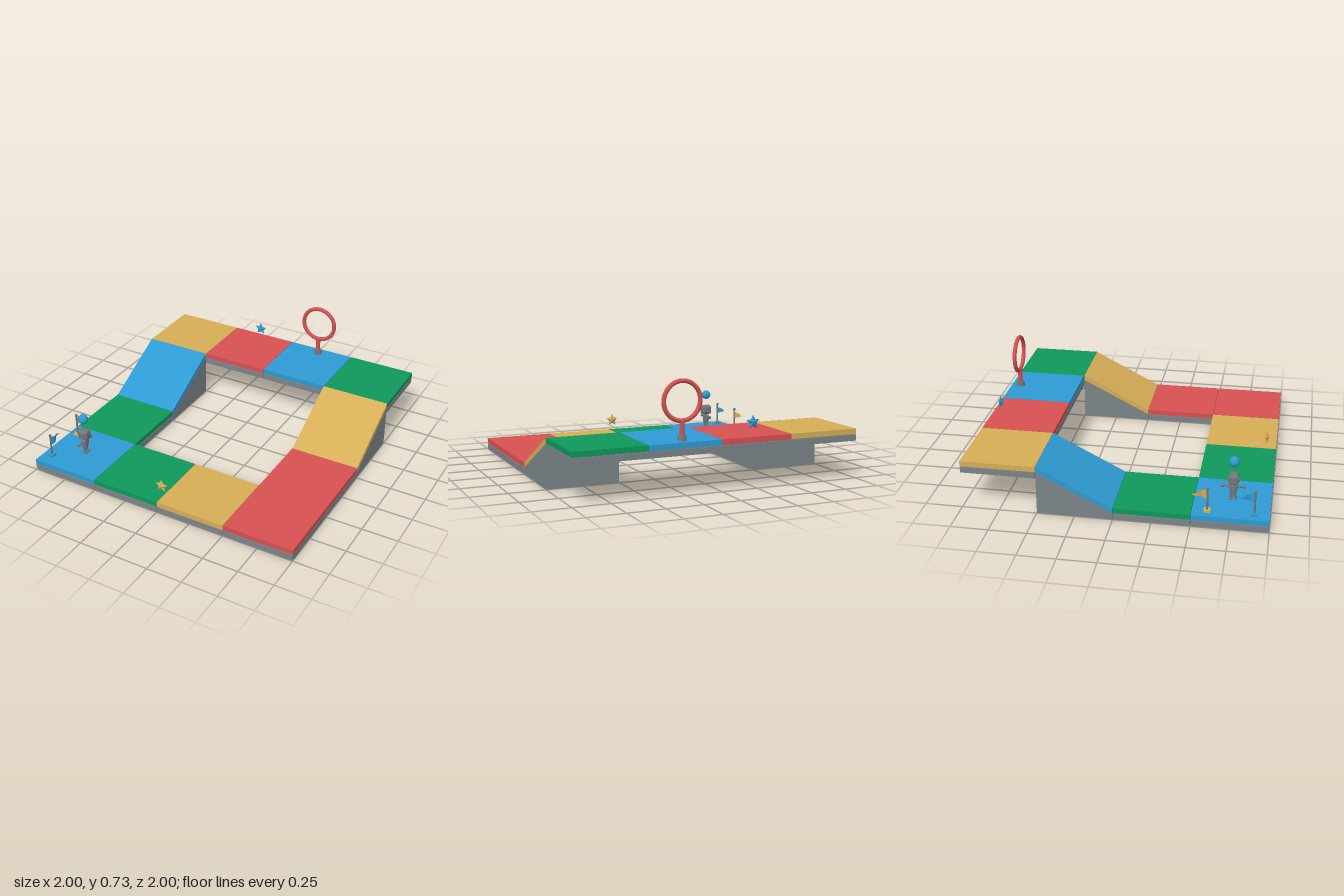
import * as THREE from 'three';
import { RoundedBoxGeometry } from 'three/addons/geometries/RoundedBoxGeometry.js';

const mat = (name, color, extra = {}) => {
  const m = new THREE.MeshStandardMaterial({ color, ...extra });
  m.name = name;
  return m;
};

export function createModel() {
  const red = mat('red', 0xd65052);
  const green = mat('green', 0x0e985a);
  const blue = mat('blue', 0x2e9ad2, { side: THREE.DoubleSide });
  const yellow = mat('yellow', 0xd6ad56, { side: THREE.DoubleSide });
  const gray = mat('gray', 0x7b8488);
  const metal = mat('metal', 0x74777b);

  const model = new THREE.Group();
  model.name = 'trackCourse';
  const add = (parent, name, geo, material, x = 0, y = 0, z = 0) => {
    const mesh = new THREE.Mesh(geo, material);
    mesh.name = name;
    mesh.position.set(x, y, z);
    parent.add(mesh);
    return mesh;
  };
  const group = (name, x, y, z) => {
    const g = new THREE.Group();
    g.name = name;
    g.position.set(x, y, z);
    model.add(g);
    return g;
  };

  // Flat tiles: gray base, recessed core, coloured top
  const LOW = 0, HIGH = 0.254;
  const tiles = [
    [-0.75, -0.75, HIGH, yellow], [-0.25, -0.75, HIGH, red],
    [0.25, -0.75, HIGH, blue], [0.75, -0.75, HIGH, green],
    [-0.75, 0.25, LOW, green], [0.75, 0.25, LOW, red],
    [-0.75, 0.75, LOW, blue], [-0.25, 0.75, LOW, green],
    [0.25, 0.75, LOW, yellow], [0.75, 0.75, LOW, red],
  ];
  for (const [x, z, y, color] of tiles) {
    const tile = group('tile', x, y, z);
    add(tile, 'tileBase', new THREE.BoxGeometry(0.496, 0.041, 0.496), gray, 0, 0.0205);
    add(tile, 'tileCore', new THREE.BoxGeometry(0.484, 0.01, 0.484), gray, 0, 0.043);
    add(tile, 'tileTop', new THREE.BoxGeometry(0.497, 0.036, 0.497), color, 0, 0.064);
  }

  // Ramps: side profiles extruded across the width
  const across = (points) => {
    const shape = new THREE.Shape(points.map(([u, y]) => new THREE.Vector2(u, y)));
    return new THREE.ExtrudeGeometry(shape, { depth: 0.496, bevelEnabled: false })
      .translate(0, 0, -0.248).rotateY(Math.PI / 2);
  };
  for (const [x, color] of [[-0.75, blue], [0.75, yellow]]) {
    const ramp = group('ramp', x, 0, 0);
    add(ramp, 'rampBody', across([[0.002, 0], [0.498, 0], [0.498, 0.297], [0.002, 0.044]]), gray);
    add(ramp, 'rampTop', across([[0.001, 0.046], [0.499, 0.299], [0.499, 0.336], [0.001, 0.082]]), color);
  }

  // Hoop on a short post
  const hoop = group('hoop', 0.25, 0.335, -0.932);
  add(hoop, 'hoopFoot', new THREE.CylinderGeometry(0.026, 0.03, 0.036, 20), metal, 0, 0.018);
  add(hoop, 'hoopPost', new THREE.CylinderGeometry(0.016, 0.016, 0.09, 20), red, 0, 0.08);
  add(hoop, 'hoopRing', new THREE.TorusGeometry(0.125, 0.0145, 14, 56), red, 0, 0.252);

  // Faceted five-pointed stars
  const starGeometry = () => {
    const ring = [], pos = [];
    for (let i = 0; i < 10; i++) {
      const a = Math.PI / 2 + i * Math.PI / 5, r = i % 2 ? 0.025 : 0.049;
      ring.push([r * Math.cos(a), r * Math.sin(a), 0]);
    }
    ring.forEach((p, i) => {
      const q = ring[(i + 1) % 10];
      pos.push(...p, ...q, 0, 0, 0.017, ...q, ...p, 0, 0, -0.017);
    });
    const geo = new THREE.BufferGeometry();
    geo.setAttribute('position', new THREE.Float32BufferAttribute(pos, 3));
    geo.computeVertexNormals();
    return geo;
  };
  add(model, 'blueStar', starGeometry(), blue, -0.25, 0.42, -0.935);
  add(model, 'yellowStar', starGeometry(), yellow, 0, 0.17, 0.93);

  // Waving pennants on poles
  const pennantGeometry = () => {
    const geo = new THREE.PlaneGeometry(1, 2, 12, 1);
    const p = geo.attributes.position;
    for (let i = 0; i < p.count; i++) {
      const t = p.getX(i) + 0.5;
      p.setXYZ(i, 0.012 * Math.sin(t * Math.PI * 2), p.getY(i) * 0.034 * (1 - t), -0.006 - t * 0.1);
    }
    geo.computeVertexNormals();
    return geo;
  };
  for (const [z, color] of [[0.9, blue], [0.6, yellow]]) {
    const flag = group('flag', -0.932, 0.082, z);
    add(flag, 'flagFoot', new THREE.BoxGeometry(0.044, 0.014, 0.044), color, 0, 0.007);
    add(flag, 'flagPole', new THREE.CylinderGeometry(0.006, 0.007, 0.155, 12), metal, 0, 0.085);
    add(flag, 'flagKnob', new THREE.SphereGeometry(0.01, 12, 8), metal, 0, 0.164);
    add(flag, 'pennant', pennantGeometry(), color, 0, 0.12);
  }

  // Small robot facing +x, arms spread along z
  const robot = group('robot', -0.75, 0.082, 0.75);
  add(robot, 'head', new RoundedBoxGeometry(0.08, 0.072, 0.062, 3, 0.018), metal, 0, 0.151);
  add(robot, 'neck', new THREE.CylinderGeometry(0.012, 0.012, 0.016, 12), metal, 0, 0.112);
  add(robot, 'torso', new RoundedBoxGeometry(0.038, 0.05, 0.05, 2, 0.01), metal, 0, 0.084);
  add(robot, 'hips', new RoundedBoxGeometry(0.032, 0.02, 0.042, 2, 0.006), metal, 0, 0.052);
  for (const s of [-1, 1]) {
    const ear = add(robot, 'ear', new THREE.CylinderGeometry(0.02, 0.022, 0.008, 20), metal, 0, 0.151, s * 0.033);
    ear.rotation.x = s * Math.PI / 2;
    const arm = add(robot, 'arm', new THREE.CylinderGeometry(0.007, 0.008, 0.045, 12), metal, 0, 0.094, s * 0.045);
    arm.rotation.x = Math.PI / 2;
    add(robot, 'hand', new THREE.SphereGeometry(0.012, 12, 8), metal, 0, 0.094, s * 0.07);
    add(robot, 'leg', new THREE.CylinderGeometry(0.009, 0.009, 0.046, 12), metal, 0, 0.028, s * 0.013);
    add(robot, 'foot', new RoundedBoxGeometry(0.036, 0.014, 0.022, 2, 0.005), metal, 0.004, 0.007, s * 0.014);
  }

  // Ball floating over the robot
  add(model, 'ball', new THREE.SphereGeometry(0.035, 28, 18), blue, -0.75, 0.354, 0.75);

  return model;
}
